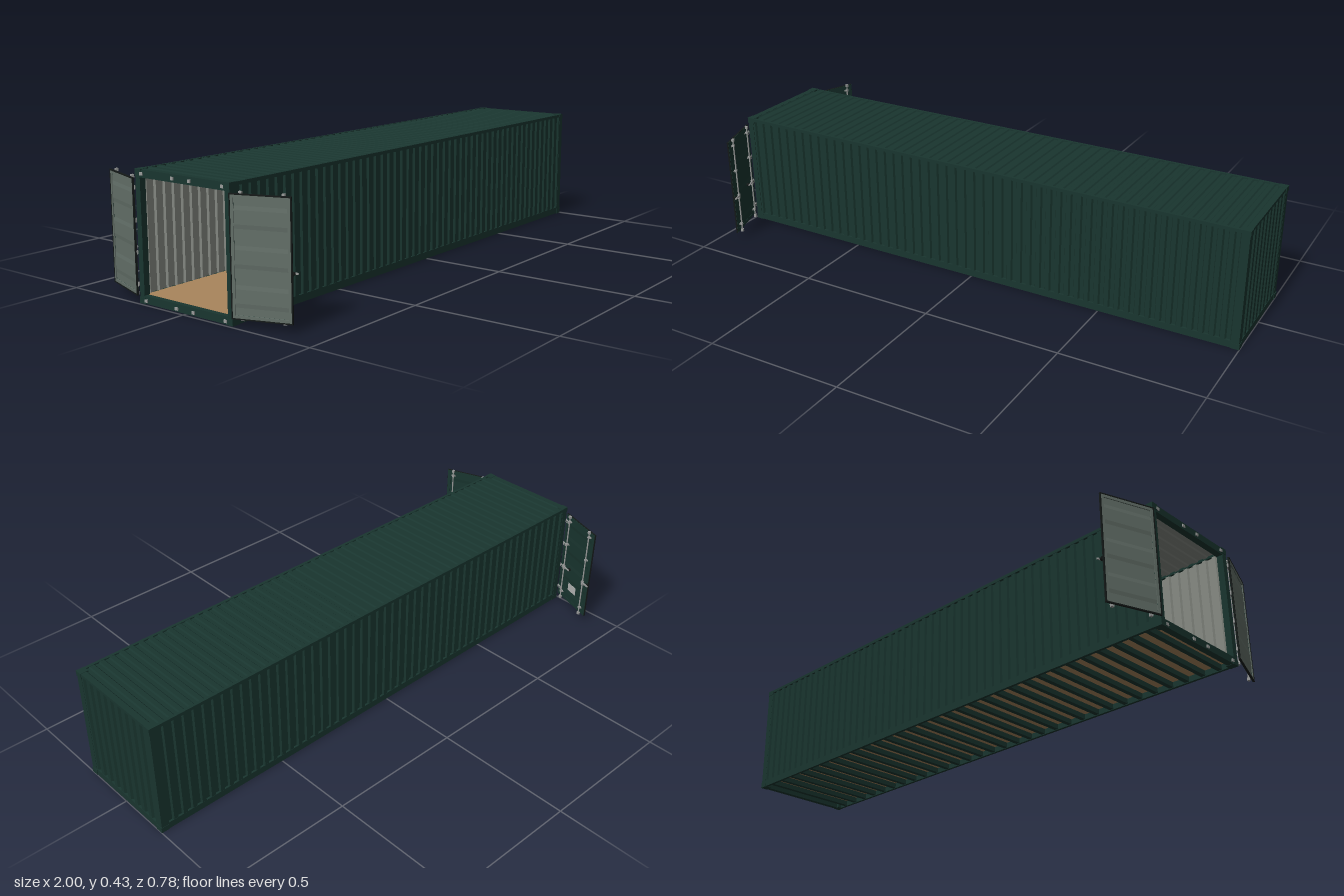
import * as THREE from 'three';

const mat = (name, color, side = THREE.FrontSide) => {
  const m = new THREE.MeshStandardMaterial({ color, side });
  m.name = name;
  return m;
};

export function createModel() {
  const green = mat('dark green paint', 0x19352f, THREE.DoubleSide);
  const grey = mat('interior grey', 0x878b84, THREE.DoubleSide);
  const doorGrey = mat('door lining grey', 0x636f68, THREE.DoubleSide);
  const steel = mat('galvanised steel', 0x9a9c9b);
  const rubber = mat('black rubber', 0x141918);
  const wood = mat('plywood floor', 0xa9855c);
  const label = mat('plate silver', 0xb4b6b5);

  const model = new THREE.Group();
  model.name = 'shippingContainer';

  const add = (parent, name, geo, material, x = 0, y = 0, z = 0) => {
    const m = new THREE.Mesh(geo, material);
    m.name = name;
    m.position.set(x, y, z);
    parent.add(m);
    return m;
  };
  const box = (parent, name, material, w, h, d, x, y, z) =>
    add(parent, name, new THREE.BoxGeometry(w, h, d), material, x, y, z);

  // Trapezoid sheet: waves along x, straight along y, facing +z (or -z when flipped)
  const sheetGeometry = (length, height, count, depth, flip) => {
    const pts = [[-length / 2, 0]];
    const p = length / count;
    for (let i = 0; i < count; i++) {
      const x = -length / 2 + i * p;
      pts.push([x + p * 0.21, 0], [x + p * 0.32, -depth], [x + p * 0.68, -depth], [x + p * 0.79, 0]);
    }
    pts.push([length / 2, 0]);
    const pos = [];
    for (let i = 0; i + 1 < pts.length; i++) {
      const [a, az] = pts[i], [b, bz] = pts[i + 1], h = height / 2;
      const A = [a, -h, az], B = [b, -h, bz], C = [b, h, bz], D = [a, h, az];
      const order = flip ? [A, C, B, A, D, C] : [A, B, C, A, C, D];
      order.forEach((v) => pos.push(...v));
    }
    const g = new THREE.BufferGeometry();
    g.setAttribute('position', new THREE.Float32BufferAttribute(pos, 3));
    g.computeVertexNormals();
    return g;
  };

  // Painted outer skin with a differently coloured lining just behind it
  const sheet = (parent, name, length, height, count, depth, lining, position, rotation) => {
    const g = new THREE.Group();
    g.name = name;
    add(g, name + 'Outside', sheetGeometry(length, height, count, depth, false), green);
    add(g, name + 'Inside', sheetGeometry(length, height, count, depth, true), lining, 0, 0, -0.0015);
    g.position.set(...position);
    g.rotation.set(...rotation);
    parent.add(g);
  };

  // Corrugated walls and roof
  const H = Math.PI / 2;
  sheet(model, 'leftSideWall', 1.945, 0.39, 52, 0.007, grey, [0.005, 0.219, 0.1985], [0, 0, 0]);
  sheet(model, 'rightSideWall', 1.945, 0.39, 52, 0.007, grey, [0.005, 0.219, -0.1985], [0, Math.PI, 0]);
  sheet(model, 'endWall', 0.35, 0.394, 9, 0.008, grey, [0.997, 0.22, 0], [0, H, 0]);
  sheet(model, 'roof', 1.96, 0.384, 52, 0.004, grey, [0.005, 0.4235, 0], [-H, 0, 0]);

  // Frame: rails, posts and corner blocks
  for (const s of [1, -1]) {
    box(model, 'bottomSideRail', green, 1.95, 0.025, 0.01, 0.005, 0.0135, s * 0.194);
    box(model, 'topSideRail', green, 1.95, 0.011, 0.01, 0.005, 0.4185, s * 0.1945);
    box(model, 'endPost', green, 0.024, 0.385, 0.025, 0.986, 0.2125, s * 0.1865);
    box(model, 'doorPost', green, 0.022, 0.385, 0.02, -0.979, 0.2125, s * 0.1895);
    for (const x of [0.985, -0.977])
      for (const y of [0.01, 0.415])
        box(model, 'cornerBlock', green, 0.03, 0.02, 0.027, x, y, s * 0.1865);
  }
  box(model, 'endTopRail', green, 0.018, 0.01, 0.35, 0.989, 0.419, 0);
  box(model, 'endBottomRail', green, 0.018, 0.024, 0.35, 0.989, 0.013, 0);
  box(model, 'doorHeader', green, 0.022, 0.025, 0.36, -0.979, 0.4115, 0);
  box(model, 'doorSill', green, 0.022, 0.025, 0.36, -0.979, 0.0135, 0);

  // Floor boards on cross members
  box(model, 'floor', wood, 1.955, 0.006, 0.378, 0.005, 0.024, 0);
  for (let i = 0; i < 31; i++)
    box(model, 'crossMember', green, 0.016, 0.018, 0.378, -0.93 + i * 0.0623, 0.012, 0);

  // Locking cam keepers above and below the opening
  for (const z of [-0.171, -0.036, 0.036, 0.171])
    for (const y of [0.011, 0.411])
      box(model, 'camKeeper', steel, 0.005, 0.01, 0.012, -0.991, y, z);

  // Open doors: leaf runs along local z from the hinge, outer face towards +x
  const makeDoor = (s) => {
    const door = new THREE.Group();
    door.name = s > 0 ? 'leftDoor' : 'rightDoor';
    const L = 0.19, y0 = 0.026, y1 = 0.396, yc = (y0 + y1) / 2, h = y1 - y0;
    const part = (name, m, w, hh, d, x, y, u) => box(door, name, m, w, hh, d, x, y, s * u);

    sheet(door, 'doorPanel', h - 0.02, L - 0.02, 3, 0.0015, doorGrey,
      [0.002, yc, s * L / 2], [0, H, H]);
    for (const [name, m, x] of [['doorFrame', green, 0.0015], ['doorLiningFrame', doorGrey, -0.0015]]) {
      for (const u of [0.006, L - 0.006]) part(name, m, 0.003, h, 0.012, x, yc, u);
      for (const y of [y0 + 0.006, y1 - 0.006]) part(name, m, 0.003, 0.012, L - 0.024, x, y, L / 2);
    }
    // Rubber seal around the edge, standing proud of the lining
    for (const u of [0.001, L - 0.001]) part('seal', rubber, 0.006, h + 0.002, 0.004, -0.001, yc, u);
    for (const y of [y0 + 0.001, y1 - 0.001]) part('seal', rubber, 0.006, 0.004, L - 0.006, -0.001, y, L / 2);

    // Locking rods with brackets, cams and handles
    for (const u of [0.03, 0.163]) {
      add(door, 'lockRod', new THREE.CylinderGeometry(0.0028, 0.0028, 0.376, 10), steel, 0.009, 0.212, s * u);
      for (const y of [0.052, 0.162, 0.273, 0.375]) {
        part('rodBracket', steel, 0.01, 0.007, 0.01, 0.0075, y, u);
        part('bracketFoot', steel, 0.002, 0.005, 0.019, 0.004, y, u);
      }
      for (const y of [0.025, 0.397]) part('rodCam', steel, 0.009, 0.01, 0.01, 0.009, y, u);
      part('handleClamp', steel, 0.008, 0.01, 0.009, 0.01, 0.173, u);
      part('handle', steel, 0.004, 0.005, 0.042, 0.013, 0.173, u + 0.019);
      const catchDisc = add(door, 'handleCatch', new THREE.CylinderGeometry(0.006, 0.006, 0.008, 12),
        rubber, 0.007, 0.173, s * (u + (u > 0.1 ? 0.026 : 0.034)));
      catchDisc.rotation.z = H;
    }
    // Hinges
    for (const y of [0.061, 0.162, 0.264, 0.366]) {
      part('hingeBlade', steel, 0.004, 0.011, 0.021, 0.005, y, 0.011);
      part('hingeRecess', green, 0.001, 0.004, 0.006, 0.0073, y, 0.011);
      add(door, 'hingePin', new THREE.CylinderGeometry(0.0025, 0.0025, 0.014, 10), steel, 0.003, y, 0);
    }
    // Blank data plate
    if (s < 0) part('dataPlate', label, 0.001, 0.033, 0.051, 0.004, 0.096, 0.093);

    door.position.set(-0.9955, 0, s * 0.203);
    door.rotation.y = s * 0.335;
    model.add(door);
  };
  makeDoor(1);
  makeDoor(-1);

  return model;
}
